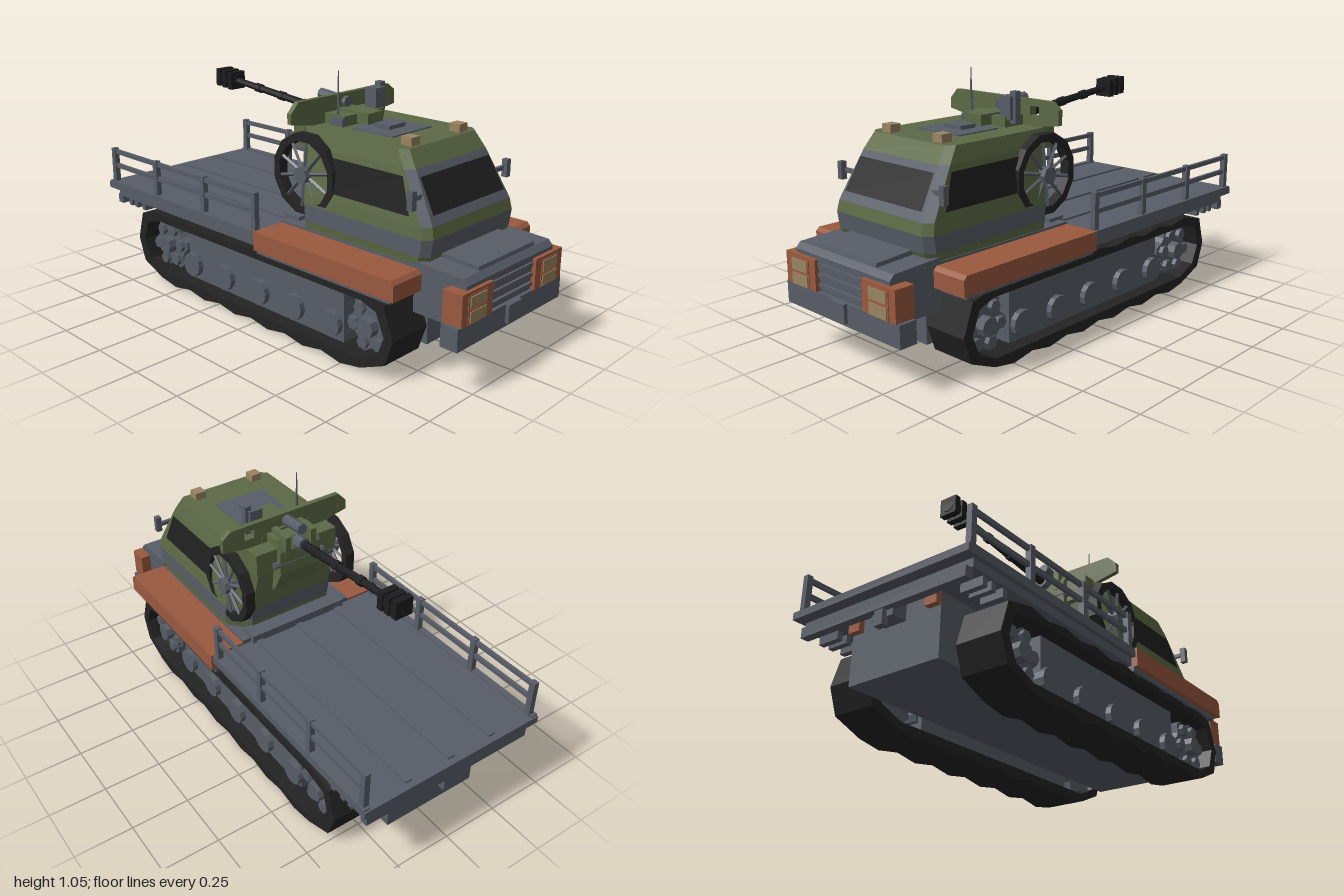
import * as THREE from 'three';

const mat = (name, color, extra = {}) =>
  Object.assign(new THREE.MeshStandardMaterial({ color, flatShading: true, ...extra }), { name });

export function createModel() {
  const root = new THREE.Group();
  root.name = 'trackedGunCarrier';
  const grey = mat('grey', 0x585d67);
  const green = mat('green', 0x5c6945);
  const rust = mat('rust', 0x9a593f);
  const rubber = mat('rubber', 0x232323);
  const gunmetal = mat('gunmetal', 0x1c1c1e);
  const glass = mat('glass', 0x202020, { side: THREE.DoubleSide });
  const tan = mat('tan', 0x9a8562);

  const add = (name, geo, m) => {
    const mesh = new THREE.Mesh(geo, m);
    mesh.name = name;
    root.add(mesh);
    return mesh;
  };
  // box from its extents
  const box = (name, m, x0, x1, y0, y1, z0, z1) =>
    add(name, new THREE.BoxGeometry(Math.abs(x1 - x0), y1 - y0, Math.abs(z1 - z0))
      .translate((x0 + x1) / 2, (y0 + y1) / 2, (z0 + z1) / 2), m);
  // the same box on both sides
  const pair = (name, m, x0, x1, ...r) => [1, -1].forEach(s => box(name, m, s * x0, s * x1, ...r));
  // cylinder between two points
  const rod = (name, m, a, b, r, sides = 8, r2 = r) => {
    const A = new THREE.Vector3(...a), B = new THREE.Vector3(...b), d = B.clone().sub(A);
    const mesh = add(name, new THREE.CylinderGeometry(r2, r, d.length(), sides), m);
    mesh.position.copy(A).add(B).multiplyScalar(0.5);
    mesh.quaternion.setFromUnitVectors(new THREE.Vector3(0, 1, 0), d.normalize());
    return mesh;
  };
  // (z, y) outline extruded from x0 to x1; outlines with a hole run counter-clockwise
  const slabX = (name, m, pts, x0, x1, hole) => {
    const shape = new THREE.Shape(pts.map(p => new THREE.Vector2(...p)));
    if (hole) shape.holes.push(new THREE.Path(hole.map(p => new THREE.Vector2(...p))));
    return add(name, new THREE.ExtrudeGeometry(shape, { depth: x1 - x0, bevelEnabled: false })
      .rotateY(-Math.PI / 2).translate(x1, 0, 0), m);
  };

  // hull and chassis
  box('hull', grey, -0.215, 0.215, 0.1, 0.36, -0.885, 0.76);
  box('cabBase', grey, -0.28, 0.28, 0.33, 0.435, 0.04, 0.77);
  box('cabRearStep', grey, -0.24, 0.24, 0.41, 0.45, 0.02, 0.1);

  // tracks with scalloped outer edge
  const outer = [[0.71, 0.305], [0.757, 0.177], [0.72, 0.07]];
  const N = 12, zAt = i => 0.6 - (1.236 * i) / N;
  for (let i = 0; i <= N; i++) outer.push([zAt(i), i % 2 ? 0 : 0.018]);
  outer.push([-0.765, 0.07], [-0.803, 0.177], [-0.765, 0.305]);
  for (let i = N; i >= 0; i--) outer.push([zAt(i), i % 2 ? 0.318 : 0.335]);
  outer.reverse();
  const inner = [[0.675, 0.27], [0.714, 0.177], [0.68, 0.092], [0.59, 0.05], [-0.62, 0.05],
    [-0.72, 0.092], [-0.758, 0.177], [-0.73, 0.27], [-0.63, 0.294], [0.6, 0.294]];
  for (const s of [1, -1]) {
    const X = (a, b) => (s > 0 ? [a, b] : [-b, -a]);
    slabX('track', rubber, outer, ...X(0.214, 0.412), inner);
    box('wheelPlate', grey, s * 0.22, s * 0.35, 0.045, 0.3, -0.5, 0.46);
    for (const z of [0.4, 0.19, -0.02, -0.24, -0.46])
      rod('roadWheel', grey, [s * 0.24, 0.12, z], [s * 0.375, 0.12, z], 0.055, 12);
    for (const z of [0.6, -0.636]) {
      const star = Array.from({ length: 24 }, (_, i) => {
        const a = (i / 24) * Math.PI * 2, r = [0.12, 0.12, 0.095, 0.095][i % 4];
        return [z + r * Math.cos(a), 0.17 + r * Math.sin(a)];
      });
      slabX('sprocket', grey, star, ...X(0.24, 0.35));
      rod('sprocketHub', grey, [s * 0.33, 0.17, z], [s * 0.39, 0.17, z], 0.04, 8);
      for (let i = 0; i < 6; i++) {
        const a = (i / 6) * Math.PI * 2 + 0.13, c = Math.cos(a) * 0.08, d = Math.sin(a) * 0.08;
        rod('sprocketLobe', grey, [s * 0.34, 0.17 + d, z + c], [s * 0.37, 0.17 + d, z + c], 0.026, 6);
      }
    }
    // fender
    slabX('fender', rust, [[0.04, 0.345], [0.775, 0.345], [0.775, 0.41], [0.76, 0.425], [0.04, 0.425]], ...X(0.27, 0.438));
    box('fenderUnderside', grey, s * 0.25, s * 0.42, 0.325, 0.346, 0.04, 0.745);
  }

  // bonnet, grille, bumper and headlamps
  slabX('bonnet', grey, [[0.74, 0.25], [0.94, 0.25], [0.97, 0.28], [0.975, 0.42], [0.955, 0.442], [0.74, 0.452]], -0.28, 0.28);
  slabX('bonnetPanel', grey, [[0.78, 0.44], [0.955, 0.435], [0.95, 0.458], [0.78, 0.468]], -0.18, 0.18);
  for (const y of [0.3, 0.34, 0.38]) box('grilleBar', grey, -0.13, 0.13, y, y + 0.015, 0.96, 0.984);
  box('bumper', grey, -0.338, 0.338, 0.19, 0.28, 0.91, 0.985);
  box('towPlate', grey, -0.043, 0.043, 0.205, 0.28, 0.97, 1);
  pair('headlampPod', rust, 0.14, 0.325, 0.28, 0.405, 0.905, 0.99);
  for (const y of [0.285, 0.343]) {
    pair('headlampFrame', rust, 0.178, 0.29, y - 0.004, y + 0.05, 0.985, 0.993);
    pair('headlamp', tan, 0.185, 0.282, y, y + 0.045, 0.988, 0.997);
  }

  // cab lofted from rings: [y, half width, front z, rear z]
  const levels = [[0.43, 0.275, 0.775, 0.09], [0.468, 0.28, 0.79, 0.088], [0.535, 0.28, 0.8, 0.084],
    [0.582, 0.275, 0.79, 0.08], [0.77, 0.247, 0.685, 0.06], [0.835, 0.232, 0.64, 0.05]];
  const ring = ([y, w, f, r]) => {
    const half = [[w - 0.03, y, f], [w, y, f - 0.03], [w, y, r + 0.09], [w - 0.08, y, r]];
    return [...half, ...half.map(([x, h, z]) => [-x, h, z]).reverse()];
  };
  const pos = [], cabGeo = new THREE.BufferGeometry();
  const rings = levels.map(ring);
  for (let k = 0; k < rings.length - 1; k++)
    for (let i = 0; i < 8; i++) {
      const j = (i + 1) % 8, a = rings[k], b = rings[k + 1];
      const isGrey = k === 1 || (k === 3 && (i === 7 || i === 0 || i === 6));
      cabGeo.addGroup(pos.length / 3, 6, isGrey ? 1 : 0);
      pos.push(...a[i], ...a[j], ...b[j], ...a[i], ...b[j], ...b[i]);
    }
  const roof = rings[rings.length - 1];
  cabGeo.addGroup(pos.length / 3, 18, 0);
  for (let i = 1; i < 7; i++) pos.push(...roof[0], ...roof[i], ...roof[i + 1]);
  cabGeo.setAttribute('position', new THREE.Float32BufferAttribute(pos, 3));
  cabGeo.computeVertexNormals();
  add('cab', cabGeo, [green, grey]);

  // windows laid just off the cab faces
  const pane = (name, a, b, c, d) => {
    const g = new THREE.BufferGeometry();
    g.setAttribute('position', new THREE.Float32BufferAttribute([a, b, c, a, c, d].flat(), 3));
    g.computeVertexNormals();
    add(name, g, glass);
  };
  const lerpY = (y, c) => levels[3][c] + (levels[4][c] - levels[3][c]) * (y - 0.582) / 0.188;
  const fz = y => lerpY(y, 2) + 0.005, sx = y => lerpY(y, 1) + 0.004;
  const wy = [0.617, 0.745];
  pane('windscreen', [-0.224, wy[0], fz(wy[0])], [0.224, wy[0], fz(wy[0])], [0.214, wy[1], fz(wy[1])], [-0.214, wy[1], fz(wy[1])]);
  for (const s of [1, -1]) {
    // counter-clockwise from outside on both sides
    const side = [[0.61, 0.705], [0.61, 0.31], [0.747, 0.29], [0.747, 0.655]].map(([y, z]) => [s * sx(y), y, z]);
    pane('sideWindow', ...(s > 0 ? side : side.reverse()));
    // mirror on its arm
    box('mirror', grey, s * 0.284, s * 0.309, 0.645, 0.717, 0.72, 0.745);
    box('mirrorArm', grey, s * 0.23, s * 0.288, 0.673, 0.69, 0.715, 0.73);

    // carriage wheel beside the cab
    const disc = r => Array.from({ length: 12 }, (_, i) => {
      const a = ((i + 0.5) / 12) * Math.PI * 2;
      return [0.165 + r * Math.cos(a), 0.655 + r * Math.sin(a)];
    });
    slabX('carriageWheelRim', rubber, disc(0.17), s > 0 ? 0.235 : -0.279, s > 0 ? 0.279 : -0.235, disc(0.138));
    for (let i = 0; i < 10; i++) {
      const a = (i / 10) * Math.PI * 2 + 0.2;
      rod('carriageWheelSpoke', grey, [s * 0.27, 0.655, 0.165],
        [s * 0.27, 0.655 + 0.142 * Math.sin(a), 0.165 + 0.142 * Math.cos(a)], 0.008, 4);
    }
    rod('carriageWheelHub', grey, [s * 0.24, 0.655, 0.165], [s * 0.297, 0.655, 0.165], 0.036, 8);
  }

  // roof fittings
  box('roofHatch', grey, -0.12, 0.12, 0.83, 0.84, 0.28, 0.49);
  box('hatchVent', grey, -0.05, 0.05, 0.838, 0.856, 0.335, 0.415);
  pair('roofLamp', tan, 0.122, 0.172, 0.835, 0.868, 0.575, 0.625);
  box('antennaBox', grey, -0.13, -0.095, 0.83, 0.868, 0.175, 0.24);
  rod('antenna', grey, [-0.113, 0.86, 0.2], [-0.113, 1.055, 0.2], 0.007, 5, 0.002);

  // gun shield with sight opening
  const shield = new THREE.Shape([[-0.31, 0.857], [-0.19, 0.835], [0.19, 0.835], [0.31, 0.85], [0.31, 0.912],
    [0.27, 0.942], [-0.27, 0.942], [-0.31, 0.9]].map(p => new THREE.Vector2(...p)));
  shield.holes.push(new THREE.Path([[0.158, 0.877], [0.158, 0.915], [0.206, 0.915], [0.206, 0.877]]
    .map(p => new THREE.Vector2(...p))));
  add('gunShield', new THREE.ExtrudeGeometry(shield, { depth: 0.022, bevelEnabled: false }).translate(0, 0, 0.112), green);

  // gun mount
  box('mountBase', green, -0.12, 0.12, 0.83, 0.877, 0.11, 0.24);
  box('mountCradle', green, -0.045, 0.045, 0.84, 0.885, 0.1, 0.3);
  slabX('mountRear', green, [[0.12, 0.6], [0.06, 0.62], [0.01, 0.72], [0.01, 0.83], [0.04, 0.875], [0.12, 0.875]], -0.1, 0.1);
  pair('mountBracket', green, 0.1, 0.2, 0.74, 0.84, 0.035, 0.1);
  pair('mountCheek', green, 0.05, 0.075, 0.8, 0.895, 0.005, 0.13);
  rod('trunnion', grey, [-0.125, 0.77, 0.022], [0.125, 0.77, 0.022], 0.014, 6);
  rod('recoilCylinder', grey, [0, 0.905, 0.15], [0, 0.92, -0.005], 0.024, 8);
  box('sightBox', grey, 0.08, 0.14, 0.865, 0.96, 0.17, 0.23);
  box('sightPeriscope', grey, 0.125, 0.154, 0.85, 0.98, 0.185, 0.215);

  // barrel with bands and muzzle brake
  const at = z => [0, 0.846 - (z - 0.03) * 0.097, z];
  rod('breech', grey, at(0.12), at(-0.02), 0.03, 8);
  rod('barrel', gunmetal, at(0.03), at(-0.56), 0.019, 8, 0.015);
  for (const z of [-0.08, -0.23, -0.38]) rod('barrelBand', gunmetal, at(z), at(z - 0.03), 0.021, 8);
  rod('muzzleCore', gunmetal, at(-0.54), at(-0.65), 0.03, 8);
  for (const z of [-0.555, -0.595, -0.635]) {
    const [, y] = at(z);
    box('muzzleFin', gunmetal, -0.04, 0.04, y - 0.039, y + 0.039, z - 0.014, z + 0.014);
  }
  pair('muzzleSide', gunmetal, 0.022, 0.034, 0.888, 0.922, -0.645, -0.545);

  // cargo deck
  box('deck', grey, -0.43, 0.43, 0.385, 0.415, -0.998, 0.04);
  box('deckFrame', grey, -0.41, 0.41, 0.35, 0.386, -0.95, 0.04);
  for (const x of [-0.207, 0, 0.207]) box('deckRib', grey, x - 0.016, x + 0.016, 0.41, 0.423, -0.97, 0.04);
  pair('deckEdge', grey, 0.4, 0.43, 0.41, 0.422, -0.99, 0.04);

  // side rails
  for (const z of [0.02, -0.305, -0.64, -0.965]) pair('railPost', grey, 0.397, 0.421, 0.41, 0.58, z - 0.013, z + 0.013);
  for (const y of [0.488, 0.555]) pair('rail', grey, 0.402, 0.416, y, y + 0.02, -0.978, 0.03);

  // rear fittings
  for (const z of [-0.77, -0.83, -0.875]) pair('deckBracket', grey, 0.3, 0.4, 0.315, 0.355, z - 0.012, z + 0.012);
  box('rearCrossbar', grey, -0.4, 0.4, 0.31, 0.352, -0.975, -0.94);
  pair('rearLamp', rust, 0.16, 0.215, 0.3, 0.345, -0.91, -0.88);
  box('towBlock', grey, -0.05, 0.05, 0.285, 0.35, -0.95, -0.87);
  box('towHook', grey, -0.02, 0.02, 0.25, 0.32, -0.97, -0.94);

  return root;
}
